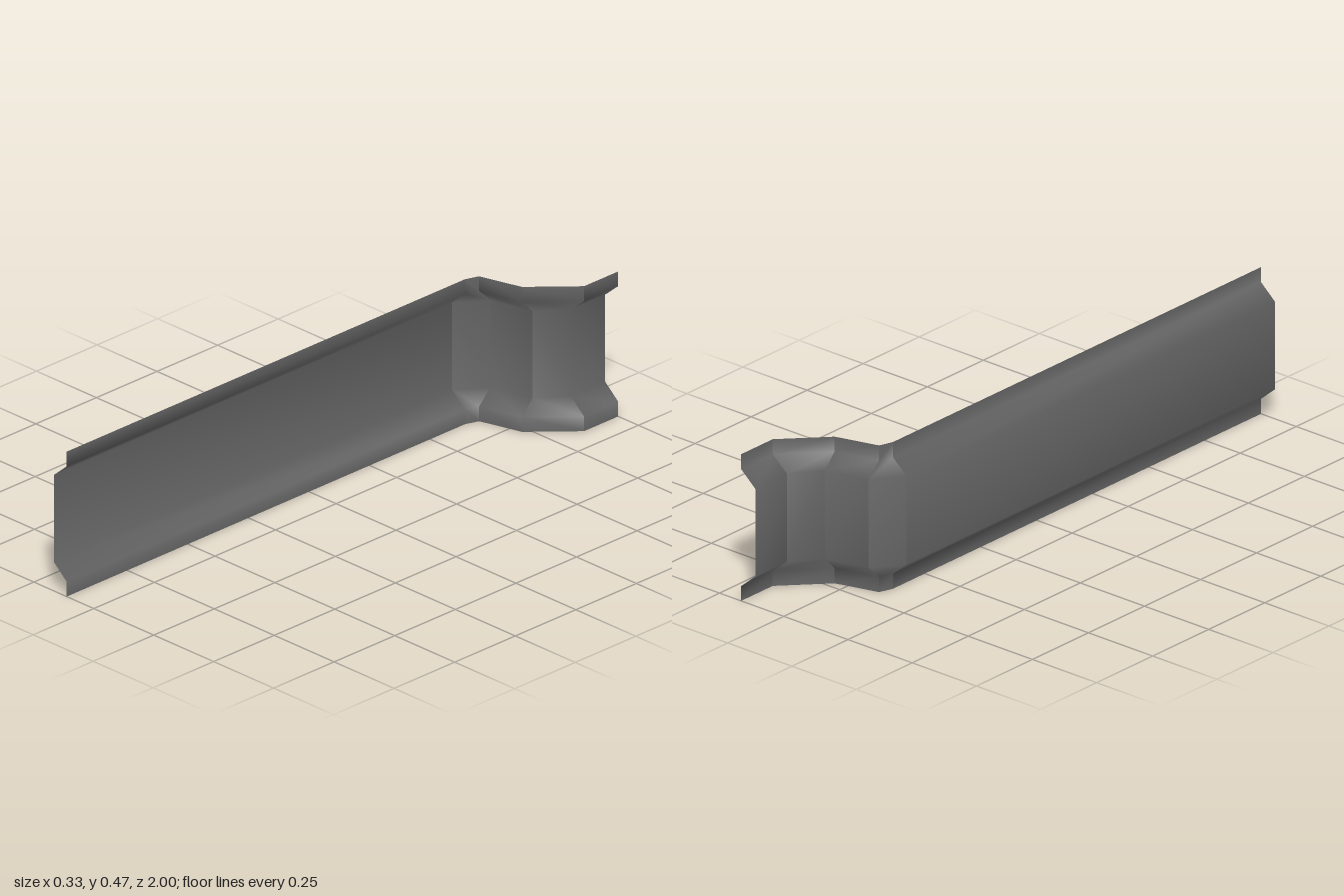
import * as THREE from 'three';

// Plan of the rail: [webX, webZ, flangeX, flangeZ] at every bend
const stations = [
  [-0.167, 1, -0.113, 1],
  [-0.167, -0.643, -0.113, -0.643],
  [-0.098, -0.734, -0.098, -0.687],
  [0.041, -0.77, 0.041, -0.726],
  [0.111, -0.859, 0.166, -0.859],
  [0.111, -1, 0.166, -1],
];

// Pressed profile: [height, 0 = on the flange line, 1 = on the web line]
const profile = [[0, 0], [0.048, 0], [0.095, 1], [0.378, 1], [0.425, 0], [0.473, 0]];

function section([wx, wz, fx, fz]) {
  return profile.map(([y, t]) => [fx + (wx - fx) * t, y, fz + (wz - fz) * t]);
}

// One straight length of sheet between two bends, smooth across the profile
function panel(a, b, material) {
  const n = profile.length;
  const index = [];
  for (let i = 0; i < n - 1; i++) {
    index.push(i, n + i, i + 1, i + 1, n + i, n + i + 1);
  }
  const geometry = new THREE.BufferGeometry();
  const points = [...section(a), ...section(b)].flat();
  geometry.setAttribute('position', new THREE.Float32BufferAttribute(points, 3));
  geometry.setIndex(index);
  geometry.computeVertexNormals();
  return new THREE.Mesh(geometry, material);
}

export function createModel() {
  const group = new THREE.Group();
  group.name = 'bentRail';
  const material = new THREE.MeshStandardMaterial({ color: 0x666666, side: THREE.DoubleSide });
  const names = ['longRail', 'firstBend', 'crossPanel', 'secondBend', 'endRail'];
  names.forEach((name, i) => {
    const mesh = panel(stations[i], stations[i + 1], material);
    mesh.name = name;
    group.add(mesh);
  });
  return group;
}
